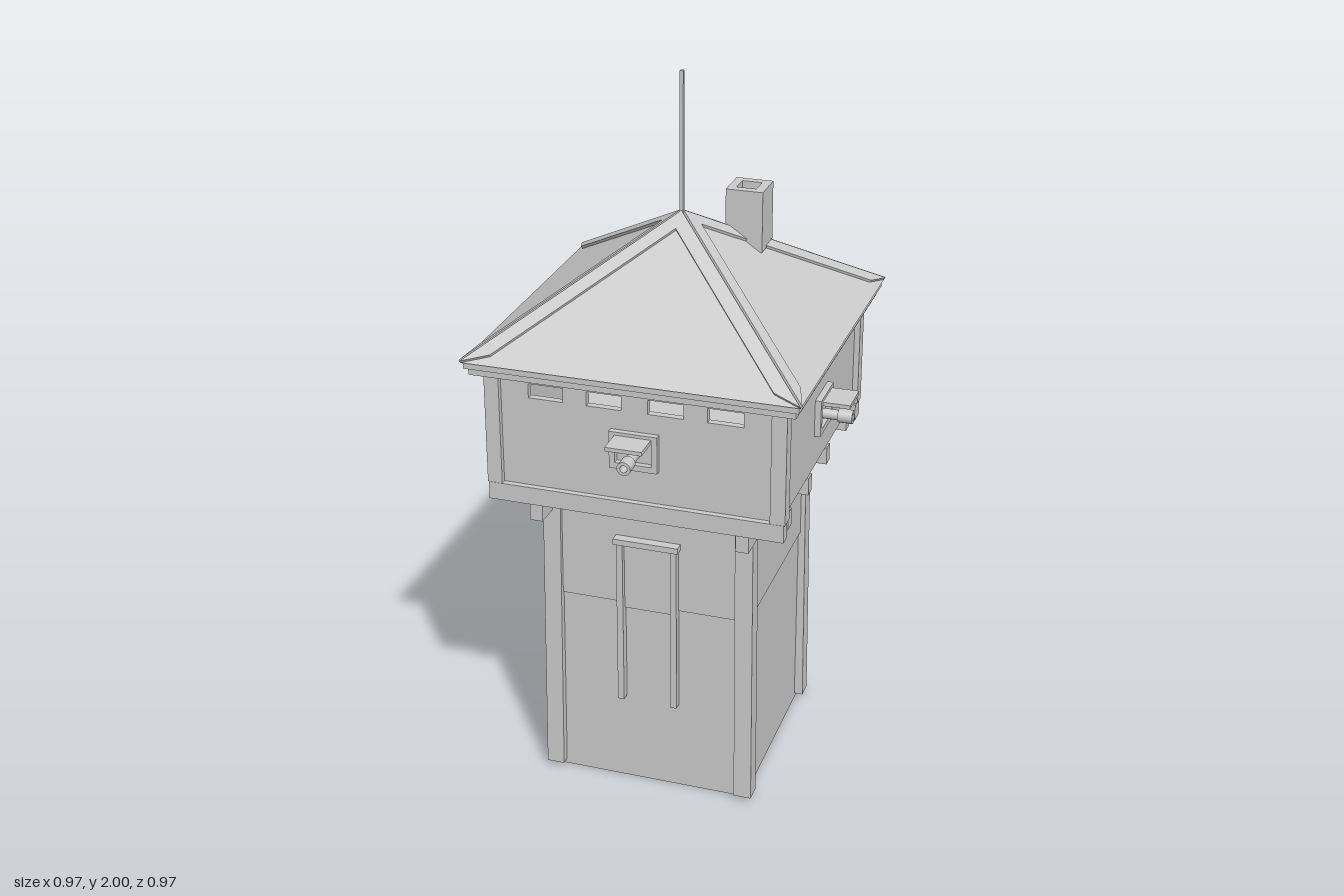
import * as THREE from 'three';

const flat = new THREE.MeshStandardMaterial({ color: 0xcccccc, flatShading: true });
const smooth = new THREE.MeshStandardMaterial({ color: 0xcccccc, side: THREE.DoubleSide });

function add(parent, name, geometry, material = flat) {
  const mesh = new THREE.Mesh(geometry, material);
  mesh.name = name;
  parent.add(mesh);
  return mesh;
}

// Box given by its minimum and maximum on each axis
function block(parent, name, x0, x1, y0, y1, z0, z1) {
  const g = new THREE.BoxGeometry(x1 - x0, y1 - y0, z1 - z0);
  g.translate((x0 + x1) / 2, (y0 + y1) / 2, (z0 + z1) / 2);
  return add(parent, name, g);
}

function rectPath(path, x0, x1, y0, y1) {
  path.moveTo(x0, y0).lineTo(x1, y0).lineTo(x1, y1).lineTo(x0, y1).closePath();
  return path;
}

function buildShaft() {
  const shaft = new THREE.Group();
  shaft.name = 'shaft';
  shaft.position.z = 0.01;
  block(shaft, 'lowerWalls', -0.28, 0.28, 0, 0.575, -0.28, 0.28);
  block(shaft, 'upperWalls', -0.286, 0.286, 0.575, 0.95, -0.286, 0.286);

  // Corner posts lean slightly inward
  for (const sx of [-1, 1]) for (const sz of [-1, 1]) {
    const g = new THREE.BoxGeometry(0.05, 0.88, 0.05);
    g.translate(sx * 0.28, 0.455, sz * 0.28);
    const p = g.attributes.position;
    for (let i = 0; i < p.count; i++) {
      if (p.getY(i) > 0.5) p.setXYZ(i, p.getX(i) - sx * 0.008, p.getY(i), p.getZ(i) - sz * 0.008);
    }
    add(shaft, 'cornerPost', g);
  }

  // Hatch frame with two long rails on the front
  for (const s of [-1, 1]) {
    block(shaft, 'hatchRail', s * 0.077 - 0.009, s * 0.077 + 0.009, 0.27, 0.77, 0.275, 0.305);
  }
  block(shaft, 'hatchLintel', -0.092, 0.092, 0.765, 0.782, 0.275, 0.313);
  block(shaft, 'hatchDoor', -0.068, 0.068, 0.56, 0.765, 0.275, 0.289);
  return shaft;
}

function buildFloorFrame() {
  const frame = new THREE.Group();
  frame.name = 'floorFrame';
  for (const s of [-1, 1]) {
    block(frame, 'bearerBeam', s * 0.288 - 0.018, s * 0.288 + 0.018, 0.835, 0.9, -0.36, 0.38);
  }
  for (const z of [0.323, 0.116, -0.079, -0.303]) {
    block(frame, 'joist', -0.4, 0.4, 0.9, 0.95, z - 0.017, z + 0.017);
  }
  block(frame, 'frontSill', -0.408, 0.408, 0.9, 0.95, 0.38, 0.412);
  block(frame, 'backSill', -0.408, 0.408, 0.9, 0.95, -0.408, -0.36);
  block(frame, 'floor', -0.393, 0.393, 0.948, 0.96, -0.393, 0.393);
  return frame;
}

// Framed gun port with a hood and a short barrel, facing +z
function buildGunPort() {
  const port = new THREE.Group();
  port.name = 'gunPort';
  const frame = rectPath(new THREE.Shape(), -0.066, 0.066, 1.045, 1.15);
  frame.holes.push(rectPath(new THREE.Path(), -0.05, 0.05, 1.062, 1.13));
  const g = new THREE.ExtrudeGeometry(frame, { depth: 0.022, bevelEnabled: false });
  add(port, 'portFrame', g.translate(0, 0, 0.39));
  block(port, 'portHood', -0.05, 0.05, 1.13, 1.141, 0.39, 0.487);
  const profile = [[0.014, 0.385], [0.014, 0.445], [0.019, 0.445], [0.019, 0.485], [0.01, 0.485], [0.01, 0.44], [0, 0.44]];
  // Doubled points keep the barrel edges crisp
  for (let i = 0; i < profile.length - 1; i++) {
    const pts = [profile[i], profile[i + 1]].map(([r, y]) => new THREE.Vector2(r, y));
    const barrel = add(port, 'barrel', new THREE.LatheGeometry(pts, 16), smooth);
    barrel.rotation.x = Math.PI / 2;
    barrel.position.y = 1.085;
  }
  return port;
}

function buildCabin() {
  const cabin = new THREE.Group();
  cabin.name = 'cabin';
  for (let i = 0; i < 4; i++) {
    const side = new THREE.Group();
    side.name = 'cabinSide';
    side.rotation.y = i * Math.PI / 2;
    // Wall with four open slits
    const wall = rectPath(new THREE.Shape(), -0.39, 0.39, 0.95, 1.275);
    for (const x of [-0.245, -0.084, 0.084, 0.245]) {
      wall.holes.push(rectPath(new THREE.Path(), x - 0.048, x + 0.048, 1.205, 1.245));
    }
    const g = new THREE.ExtrudeGeometry(wall, { depth: 0.02, bevelEnabled: false });
    add(side, 'wall', g.translate(0, 0, 0.375));
    block(side, 'cabinPost', 0.37, 0.411, 0.95, 1.275, 0.37, 0.411);
    side.add(buildGunPort());
    cabin.add(side);
  }
  return cabin;
}

function buildRoof() {
  const roof = new THREE.Group();
  roof.name = 'roof';
  const half = 0.455, base = 1.308, apex = 1.615;
  block(roof, 'lowerEave', -0.44, 0.44, 1.27, 1.29, -0.44, 0.44);
  block(roof, 'upperEave', -0.45, 0.45, 1.29, base, -0.45, 0.45);
  const pyramid = new THREE.ConeGeometry(half * Math.SQRT2, apex - base, 4);
  pyramid.rotateY(Math.PI / 4).translate(0, (apex + base) / 2, 0);
  add(roof, 'roofSlopes', pyramid);

  // Raised strips along the hips, one V per slope
  const slope = Math.atan((apex - base) / half), k = 1 / Math.cos(slope);
  const outline = [[0, 0], [-half, -half], [-0.38, -0.43], [0, -0.05], [0.38, -0.43], [half, -half]];
  const shape = new THREE.Shape(outline.map(([x, s]) => new THREE.Vector2(x, s * k)));
  for (let i = 0; i < 4; i++) {
    const g = new THREE.ExtrudeGeometry(shape, { depth: 0.008, bevelEnabled: false });
    g.rotateX(slope - Math.PI / 2).translate(0, apex, 0).rotateY(i * Math.PI / 2);
    add(roof, 'hipStrip', g);
  }

  // Hollow chimney
  const flue = rectPath(new THREE.Shape(), 0.091, 0.194, 0.098, 0.2);
  flue.holes.push(rectPath(new THREE.Path(), 0.114, 0.169, 0.123, 0.177));
  const chimney = new THREE.ExtrudeGeometry(flue, { depth: 0.17, bevelEnabled: false });
  add(roof, 'chimney', chimney.rotateX(-Math.PI / 2).translate(0, 1.487, 0));

  block(roof, 'mast', -0.005, 0.005, 1.6, 2, -0.005, 0.005);
  return roof;
}

export function createModel() {
  const model = new THREE.Group();
  model.name = 'watchtower';
  model.add(buildShaft(), buildFloorFrame(), buildCabin(), buildRoof());
  return model;
}
